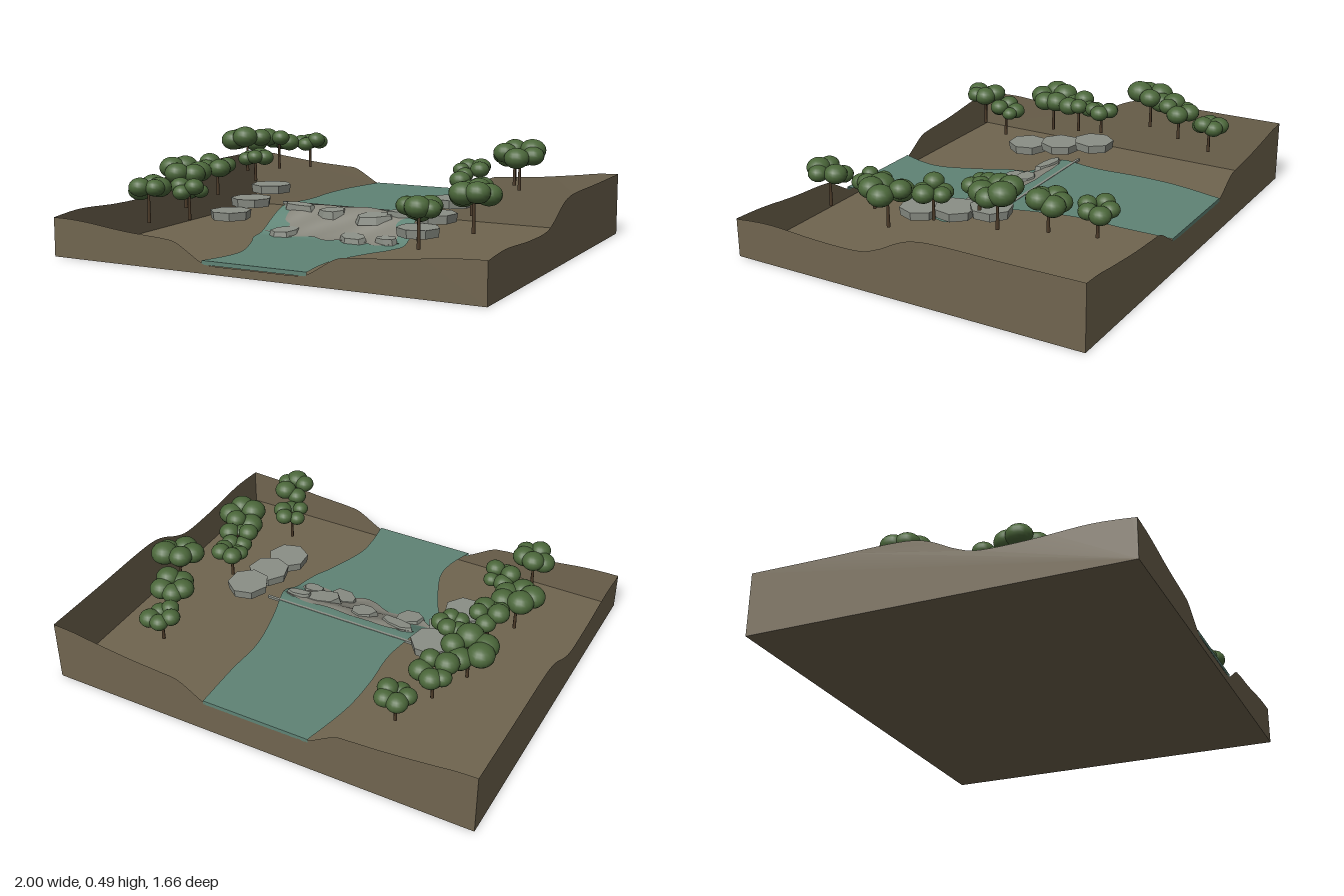
import * as THREE from 'three';

const mat = (name, color, extra = {}) => {
  const m = new THREE.MeshStandardMaterial({ color, ...extra });
  m.name = name;
  return m;
};
const V2 = (p) => new THREE.Vector2(...p);
const smooth = THREE.MathUtils.smoothstep;
const HALF = 0.83;

// height of the water: upper pool, sloping rapids, lower pool
const waterY = (z) => 0.055 + 0.105 * (1 - smooth(z, -0.03, 0.22));

// river banks as x positions along z
const bank = (points) => {
  const curve = new THREE.SplineCurve(points.map(V2));
  const pts = curve.getPoints(160);
  return (z) => {
    const i = Math.max(1, pts.findIndex((p) => p.y >= z - 1e-6));
    const a = pts[i - 1], b = pts[i];
    return THREE.MathUtils.mapLinear(z, a.y, b.y, a.x, b.x);
  };
};
const leftBank = bank([[-0.26, -0.83], [-0.31, -0.6], [-0.32, -0.4], [-0.31, -0.2], [-0.34, 0],
  [-0.35, 0.15], [-0.33, 0.28], [-0.27, 0.4], [-0.2, 0.58], [-0.2, 0.7], [-0.24, 0.83]]);
const rightBank = bank([[0.24, -0.83], [0.245, -0.6], [0.24, -0.4], [0.28, -0.2], [0.34, 0],
  [0.37, 0.17], [0.345, 0.3], [0.3, 0.4], [0.24, 0.58], [0.235, 0.7], [0.25, 0.83]]);

// grid whose vertices follow rule(u, v), u to the right and v to the back
function sheet(nu, nv, rule) {
  const g = new THREE.PlaneGeometry(1, 1, nu, nv);
  const uv = g.attributes.uv, pos = g.attributes.position;
  for (let i = 0; i < pos.count; i++) pos.setXYZ(i, ...rule(uv.getX(i), uv.getY(i)));
  g.computeVertexNormals();
  return g;
}

// upright wall with a curved top edge
function wall(profile) {
  const shape = new THREE.Shape();
  shape.moveTo(profile[0][0], 0);
  shape.lineTo(...profile[0]);
  shape.splineThru(profile.slice(1).map(V2));
  shape.lineTo(profile[profile.length - 1][0], 0);
  return new THREE.ShapeGeometry(shape, 60);
}

export function createModel() {
  const root = new THREE.Group();
  const earth = mat('earth', 0x70654f, { side: THREE.DoubleSide });
  const water = mat('water', 0x5f8375, { side: THREE.DoubleSide });
  const rapids = mat('wet rock', 0x85847a, { side: THREE.DoubleSide });
  const stone = mat('stone', 0x8b8f86, { flatShading: true });
  const leaf = mat('leaf', 0x4b673a);
  const bark = mat('bark', 0x4b3a28);

  let seed = 7;
  const rnd = () => (seed = (seed * 16807) % 2147483647) / 2147483647;
  const add = (name, geo, material, x = 0, y = 0, z = 0, parent = root) => {
    const m = new THREE.Mesh(geo, material);
    m.name = name;
    m.position.set(x, y, z);
    parent.add(m);
    return m;
  };

  // earth tray: floor and four walls
  add('floor', new THREE.PlaneGeometry(2, 2 * HALF).rotateX(-Math.PI / 2), earth);
  add('frontWall', wall([[-1, 0.172], [-0.9, 0.17], [-0.8, 0.162], [-0.7, 0.15], [-0.6, 0.14],
    [-0.5, 0.134], [-0.42, 0.128], [-0.36, 0.115], [-0.25, 0.05], [-0.2, 0.036], [0, 0.035],
    [0.21, 0.036], [0.26, 0.05], [0.37, 0.115], [0.43, 0.128], [0.5, 0.134], [0.6, 0.14],
    [0.7, 0.15], [0.8, 0.162], [0.9, 0.17], [1, 0.174]]), earth, 0, 0, HALF);
  add('backWall', wall([[-1, 0.285], [-0.9, 0.28], [-0.8, 0.267], [-0.6, 0.245], [-0.45, 0.235],
    [-0.38, 0.224], [-0.27, 0.16], [-0.22, 0.145], [0, 0.143], [0.2, 0.145], [0.25, 0.16],
    [0.36, 0.224], [0.45, 0.235], [0.6, 0.245], [0.8, 0.267], [0.9, 0.28], [1, 0.285]]),
  earth, 0, 0, -HALF);
  const side = wall([[-HALF, 0.285], [-0.5, 0.283], [-0.2, 0.284], [-0.08, 0.275], [0, 0.25],
    [0.1, 0.2], [0.2, 0.172], [0.4, 0.171], [0.65, 0.184], [HALF, 0.172]]).rotateY(-Math.PI / 2);
  add('leftWall', side, earth, 1);
  add('rightWall', side, earth, -1);

  // river surface with a thin edge at each end
  const across = (u, z) => THREE.MathUtils.lerp(leftBank(z), rightBank(z), u);
  add('river', sheet(8, 90, (u, v) => {
    const z = HALF - 2 * HALF * v;
    return [across(u, z), waterY(z), z];
  }), water);
  for (const z of [-HALF, HALF]) {
    add('riverEdge', sheet(1, 1, (u, v) => [across(u, z), waterY(z) - 0.018 * (1 - v), z]), water);
  }

  // lumpy rock bed of the rapids, with scalloped ends
  add('rapids', sheet(48, 24, (u, v) => {
    const x = -0.33 + 0.67 * u;
    const front = 0.225 + 0.02 * Math.sin(x * 26 + 1.2) - 0.02 * (1 - Math.sin(Math.PI * u));
    const back = -0.03 + 0.03 * Math.pow(Math.abs(2 * u - 1), 6);
    const z = THREE.MathUtils.lerp(front, back, v);
    const lumps = 0.006 * Math.sin(x * 24 + z * 9) * Math.cos(z * 34 + x * 5);
    const sides = 0.03 * Math.pow(Math.abs(2 * u - 1), 8) * Math.sin(Math.PI * v);
    return [x, waterY(z) + 0.008 + lumps - sides, z];
  }), rapids);
  add('weir', new THREE.BoxGeometry(0.76, 0.012, 0.012), stone, 0, 0.156, -0.066);

  // angular boulders in the rapids: x, z, half width, half depth, turn
  const boulders = [[-0.24, 0.02, 0.1, 0.04, -0.1], [-0.06, 0.04, 0.07, 0.055, 0.5],
    [0.16, 0.05, 0.1, 0.065, 0.5], [-0.22, 0.19, 0.08, 0.06, 0.6], [0.12, 0.19, 0.09, 0.055, -0.3],
    [0.28, 0.18, 0.06, 0.04, -0.1], [0.26, 0.01, 0.07, 0.03, 0.1]];
  boulders.forEach(([x, z, w, d, turn]) => {
    const g = new THREE.CylinderGeometry(0.85, 1, 0.035, 7);
    const p = g.attributes.position;
    const reach = Array.from({ length: 7 }, () => 0.78 + 0.3 * rnd());
    for (let i = 0; i < p.count; i++) {
      const px = p.getX(i), pz = p.getZ(i);
      const k = Math.round((Math.atan2(px, pz) / (2 * Math.PI) + 1) * 7) % 7;
      p.setXYZ(i, px * w * reach[k], p.getY(i), pz * d * reach[k]);
    }
    add('boulder', g, stone, x, waterY(z) + 0.006, z).rotation.set(0.1, turn, 0);
  });

  // flat stepping stones on both banks
  const slab = new THREE.CylinderGeometry(0.095, 0.09, 0.038, 7);
  for (const sx of [-1, 1]) {
    [[-0.1, 0.216], [0.08, 0.176], [0.26, 0.142]].forEach(([z, y], i) => {
      add('bankStone', slab, stone, sx * 0.465, y, z).rotation.y = i * 0.7 + (sx > 0 ? 0.25 : 0);
    });
  }

  // trees: left x, right x, z, ground height, crown height, crown radius
  const trees = [[-0.56, 0.555, -0.645, 0.247, 0.375, 0.088], [-0.635, 0.62, -0.46, 0.254, 0.4, 0.1],
    [-0.71, 0.71, -0.28, 0.26, 0.418, 0.115], [-0.55, 0.55, -0.095, 0.245, 0.362, 0.085],
    [-0.65, 0.63, 0.08, 0.193, 0.328, 0.095], [-0.71, 0.71, 0.255, 0.152, 0.315, 0.113],
    [-0.56, 0.55, 0.445, 0.137, 0.275, 0.087], [-0.65, 0.63, 0.62, 0.143, 0.3, 0.1]];
  const blob = new THREE.SphereGeometry(1, 16, 12);
  for (const [lx, rx, z, ground, crown, r] of trees) {
    for (const x of [lx, rx]) {
      const tree = new THREE.Group();
      tree.name = 'tree';
      tree.position.set(x, ground, z);
      root.add(tree);
      const h = crown - ground;
      add('trunk', new THREE.CylinderGeometry(0.005, 0.008, h, 7), bark, 0, h / 2, 0, tree);
      const start = rnd() * 6.28;
      for (let i = 0; i < 5; i++) {
        const a = start + i * 1.257 + (rnd() - 0.5) * 0.4;
        const off = r * (0.46 + 0.14 * rnd());
        const s = r * (0.42 + 0.12 * rnd());
        const b = add('foliage', blob, leaf, Math.cos(a) * off, h + (rnd() - 0.5) * 0.4 * r,
          Math.sin(a) * off, tree);
        b.scale.set(s, s * 0.82, s);
      }
    }
  }
  return root;
}
